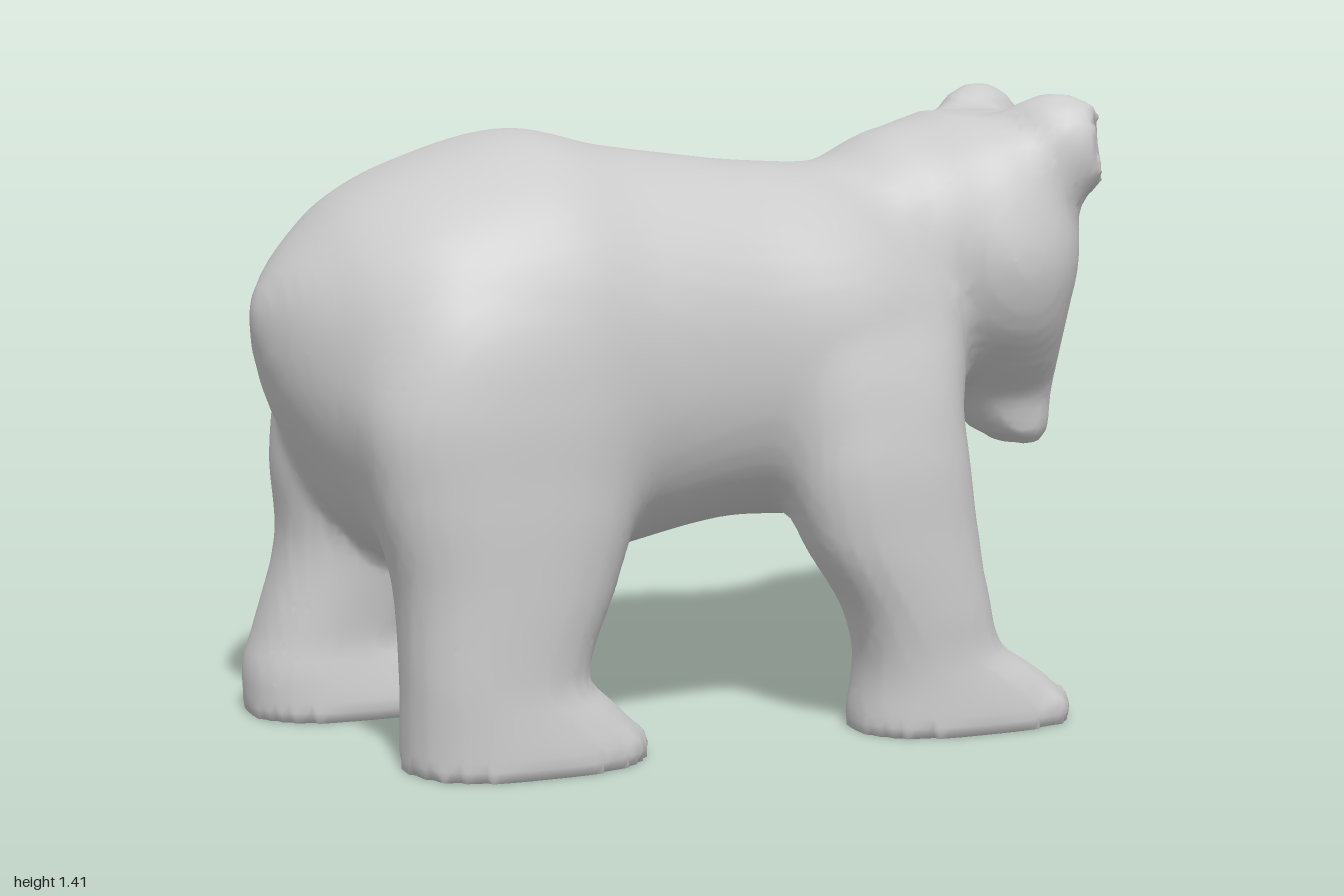
import * as THREE from 'three';

const material = new THREE.MeshStandardMaterial({ color: 0xcccccc });

// Solid lofted along x or y, as a distance function. Each section is
// [position on axis, lo, hi (y for axis x, x for axis y), zLo, zHi].
function loft(axis, power, s) {
  const slope = (i, c) => {
    const a = s[Math.max(i - 1, 0)], b = s[Math.min(i + 1, s.length - 1)];
    return (b[c] - a[c]) / (b[0] - a[0]);
  };
  const tangents = s.map((row, i) => row.map((_, c) => slope(i, c)));
  const first = s[0][0], last = s[s.length - 1][0];
  return (x, y, z) => {
    const [p, q] = axis === 'x' ? [x, y] : [y, x];
    const at = Math.min(Math.max(p, first), last);
    let i = 0;
    while (i < s.length - 2 && at > s[i + 1][0]) i++;
    const span = s[i + 1][0] - s[i][0], t = (at - s[i][0]) / span, t2 = t * t, t3 = t2 * t;
    const value = (c) => (2 * t3 - 3 * t2 + 1) * s[i][c] + (3 * t2 - 2 * t3) * s[i + 1][c]
      + span * ((t3 - 2 * t2 + t) * tangents[i][c] + (t3 - t2) * tangents[i + 1][c]);
    const lo = value(1), hi = value(2), z0 = value(3), z1 = value(4);
    const a = Math.max((hi - lo) / 2, 0.01), b = Math.max((z1 - z0) / 2, 0.01);
    const u = Math.abs(q - (lo + hi) / 2) / a, v = Math.abs(z - (z0 + z1) / 2) / b;
    const g = Math.max((u ** power + v ** power) ** (1 / power), 1e-4);
    const steep = Math.hypot((u / g) ** (power - 1) / a, (v / g) ** (power - 1) / b);
    return Math.max((g - 1) / steep, first - p, p - last);
  };
}

// Ellipsoid turned about the vertical, as a distance function
function ellipsoid([cx, cy, cz], [rx, ry, rz], turn = 0) {
  const c = Math.cos(turn), s = Math.sin(turn);
  return (x, y, z) => {
    const dx = x - cx, dz = z - cz;
    const u = (c * dx - s * dz) / rx, v = (y - cy) / ry, w = (s * dx + c * dz) / rz;
    const k = Math.hypot(u, v, w);
    return (k * (k - 1)) / Math.max(Math.hypot(u / rx, v / ry, w / rz), 1e-4);
  };
}

// Rounded ear, turned outwards and hollowed on its front
function ear(side) {
  const shell = ellipsoid([0.85, 1.285, 0.2 * side], [0.135, 0.125, 0.1], -0.6 * side);
  const hollow = ellipsoid([0.98, 1.3, 0.285 * side], [0.085, 0.085, 0.065], -0.6 * side);
  return (x, y, z) => Math.max(shell(x, y, z), -hollow(x, y, z));
}

// Four low toes along the front of a foot
const toes = (x, z) => [-0.105, -0.035, 0.035, 0.105].map((off) =>
  ellipsoid([x - 0.12 - 4 * off * off, 0.03, z + off], [0.12, 0.055, 0.045]));

// Hind leg: side +1 is the right one, back shifts the foot to the rear
function hindLeg(back, inner, side) {
  const section = (y, x0, x1, zIn, zOut) => (side > 0 ? [y, x0, x1, zIn, zOut] : [y, x0, x1, -zOut, -zIn]);
  return loft('y', 2.4, [
    section(-0.05, -0.76 - back, -0.22 - back, inner, 0.5),
    section(0.04, -0.76 - back, -0.22 - back, inner, 0.5),
    section(0.11, -0.76 - back, -0.28 - back, inner + 0.01, 0.495),
    section(0.19, -0.76 - back * 0.85, -0.35 - back, inner + 0.02, 0.49),
    section(0.4, -0.77 - back * 0.5, -0.28 - back * 0.6, inner - 0.01, 0.495),
    section(0.6, -0.82 - back * 0.3, -0.22 - back * 0.3, 0.09, 0.497),
    section(0.8, -0.85, -0.22, 0.07, 0.485),
    section(0.98, -0.78, -0.27, 0.07, 0.43),
    section(1.12, -0.68, -0.36, 0.08, 0.3),
  ]);
}

const parts = {
  body: [loft('x', 2.2, [
    [-0.995, 0.91, 0.99, -0.03, 0.03],
    [-0.96, 0.79, 1.05, -0.13, 0.13],
    [-0.9, 0.66, 1.12, -0.25, 0.24],
    [-0.8, 0.5, 1.21, -0.38, 0.36],
    [-0.65, 0.38, 1.285, -0.47, 0.45],
    [-0.4, 0.36, 1.35, -0.48, 0.47],
    [-0.2, 0.41, 1.31, -0.42, 0.45],
    [0.05, 0.46, 1.275, -0.37, 0.43],
    [0.3, 0.46, 1.24, -0.38, 0.44],
    [0.45, 0.5, 1.16, -0.34, 0.4],
    [0.56, 0.58, 1.05, -0.26, 0.33],
    [0.63, 0.68, 0.92, -0.14, 0.2],
  ])],
  // Carries the back line up into the crown
  neck: [loft('x', 2.2, [
    [0.1, 0.72, 1.2, -0.24, 0.27],
    [0.35, 0.68, 1.255, -0.27, 0.29],
    [0.5, 0.7, 1.325, -0.26, 0.28],
    [0.65, 0.76, 1.34, -0.26, 0.27],
    [0.8, 0.88, 1.34, -0.22, 0.22],
  ])],
  // Hangs down, tapering into the muzzle
  head: [loft('y', 2.2, [
    [0.58, 0.81, 0.895, -0.06, 0.1],
    [0.61, 0.75, 0.915, -0.09, 0.13],
    [0.7, 0.67, 0.925, -0.11, 0.15],
    [0.79, 0.6, 0.925, -0.21, 0.23],
    [0.9, 0.53, 0.93, -0.305, 0.31],
    [1.03, 0.49, 0.95, -0.34, 0.345],
    [1.17, 0.49, 0.95, -0.32, 0.32],
    [1.27, 0.52, 0.935, -0.275, 0.275],
    [1.325, 0.57, 0.91, -0.22, 0.22],
    [1.35, 0.63, 0.87, -0.14, 0.14],
  ])],
  leftEar: [ear(-1)],
  rightEar: [ear(1)],
  // Left foreleg, lifted to the face
  raisedForeleg: [loft('x', 2.2, [
    [0.08, 0.58, 0.8, -0.31, -0.17],
    [0.2, 0.49, 0.9, -0.38, -0.13],
    [0.35, 0.455, 0.92, -0.42, -0.12],
    [0.5, 0.51, 0.85, -0.43, -0.14],
    [0.6, 0.57, 0.84, -0.42, -0.16],
    [0.72, 0.63, 0.9, -0.4, -0.15],
    [0.84, 0.69, 0.98, -0.38, -0.11],
    [0.93, 0.74, 1.03, -0.36, -0.1],
    [0.975, 0.78, 1.01, -0.33, -0.12],
    [0.998, 0.85, 0.96, -0.27, -0.17],
  ])],
  standingForeleg: [loft('y', 2.4, [
    [-0.05, 0.29, 0.82, 0.17, 0.5],
    [0.04, 0.29, 0.81, 0.17, 0.5],
    [0.11, 0.3, 0.74, 0.18, 0.495],
    [0.18, 0.3, 0.64, 0.2, 0.49],
    [0.28, 0.27, 0.605, 0.2, 0.495],
    [0.45, 0.17, 0.575, 0.18, 0.497],
    [0.65, 0.12, 0.555, 0.14, 0.49],
    [0.85, 0.13, 0.53, 0.1, 0.44],
    [1.02, 0.2, 0.44, 0.08, 0.3],
  ]), ...toes(0.83, 0.335)],
  rightHindLeg: [hindLeg(0, 0.13, 1), ...toes(-0.2, 0.315)],
  leftHindLeg: [hindLeg(0.18, 0.14, -1), ...toes(-0.38, -0.32)],
};

const partDistance = (solids, x, y, z) => Math.min(...solids.map((solid) => solid(x, y, z)));

// All parts melted into one skin, cut flat at the ground
function skin(x, y, z) {
  const blend = 0.06;
  let d = 1;
  for (const solids of Object.values(parts)) {
    const e = partDistance(solids, x, y, z);
    d = Math.min(d, e) - Math.max(blend - Math.abs(d - e), 0) ** 2 / (4 * blend);
  }
  return Math.max(d, -y);
}

export function createModel() {
  const h = 0.024, n = [90, 62, 48], origin = [-1.07, -h / 2, -0.57];
  const stride = [1, n[0], n[0] * n[1]];
  const field = new Float32Array(n[0] * n[1] * n[2]);
  const each = (visit) => {
    for (let k = 0; k < n[2]; k++)
      for (let j = 0; j < n[1]; j++)
        for (let i = 0; i < n[0]; i++) visit([i, j, k], i + j * stride[1] + k * stride[2]);
  };
  each((c, id) => { field[id] = skin(...c.map((v, a) => origin[a] + v * h)); });

  // One vertex in every cell the surface passes through
  const positions = [], vertexOf = new Map();
  each((c, id) => {
    if (c.some((v, a) => v === n[a] - 1)) return;
    const sum = [0, 0, 0];
    let hits = 0;
    for (let a = 0; a < 3; a++) {
      const u = (a + 1) % 3, w = (a + 2) % 3;
      for (let m = 0; m < 4; m++) {
        const du = m & 1, dw = m >> 1, from = id + du * stride[u] + dw * stride[w];
        const f0 = field[from], f1 = field[from + stride[a]];
        if (f0 < 0 === f1 < 0) continue;
        sum[a] += f0 / (f0 - f1);
        sum[u] += du;
        sum[w] += dw;
        hits++;
      }
    }
    if (!hits) return;
    vertexOf.set(id, positions.length / 3);
    const point = c.map((v, a) => origin[a] + (v + sum[a] / hits) * h);
    positions.push(point[0], c[1] === 0 ? 0 : point[1], point[2]);
  });

  // A quad round every grid edge the surface crosses, sorted to its nearest part
  const names = Object.keys(parts), faces = names.map(() => []);
  each((c, id) => {
    for (let a = 0; a < 3; a++) {
      const u = (a + 1) % 3, w = (a + 2) % 3;
      if (c[a] === n[a] - 1 || !c[u] || !c[w]) continue;
      const inside = field[id] < 0;
      if (inside === field[id + stride[a]] < 0) continue;
      const q = [id - stride[u] - stride[w], id - stride[w], id, id - stride[u]].map((cell) => vertexOf.get(cell));
      if (!inside) q.reverse();
      const near = names.map((name) => partDistance(parts[name], ...positions.slice(q[0] * 3, q[0] * 3 + 3)));
      faces[near.indexOf(Math.min(...near))].push(q[0], q[1], q[2], q[0], q[2], q[3]);
    }
  });

  const whole = new THREE.BufferGeometry();
  whole.setAttribute('position', new THREE.Float32BufferAttribute(positions, 3));
  whole.setIndex(faces.flat());
  whole.computeVertexNormals();

  const model = new THREE.Group();
  model.name = 'bear';
  names.forEach((name, i) => {
    const mesh = new THREE.Mesh(whole.clone().setIndex(faces[i]).toNonIndexed(), material);
    mesh.name = name;
    model.add(mesh);
  });
  return model;
}
